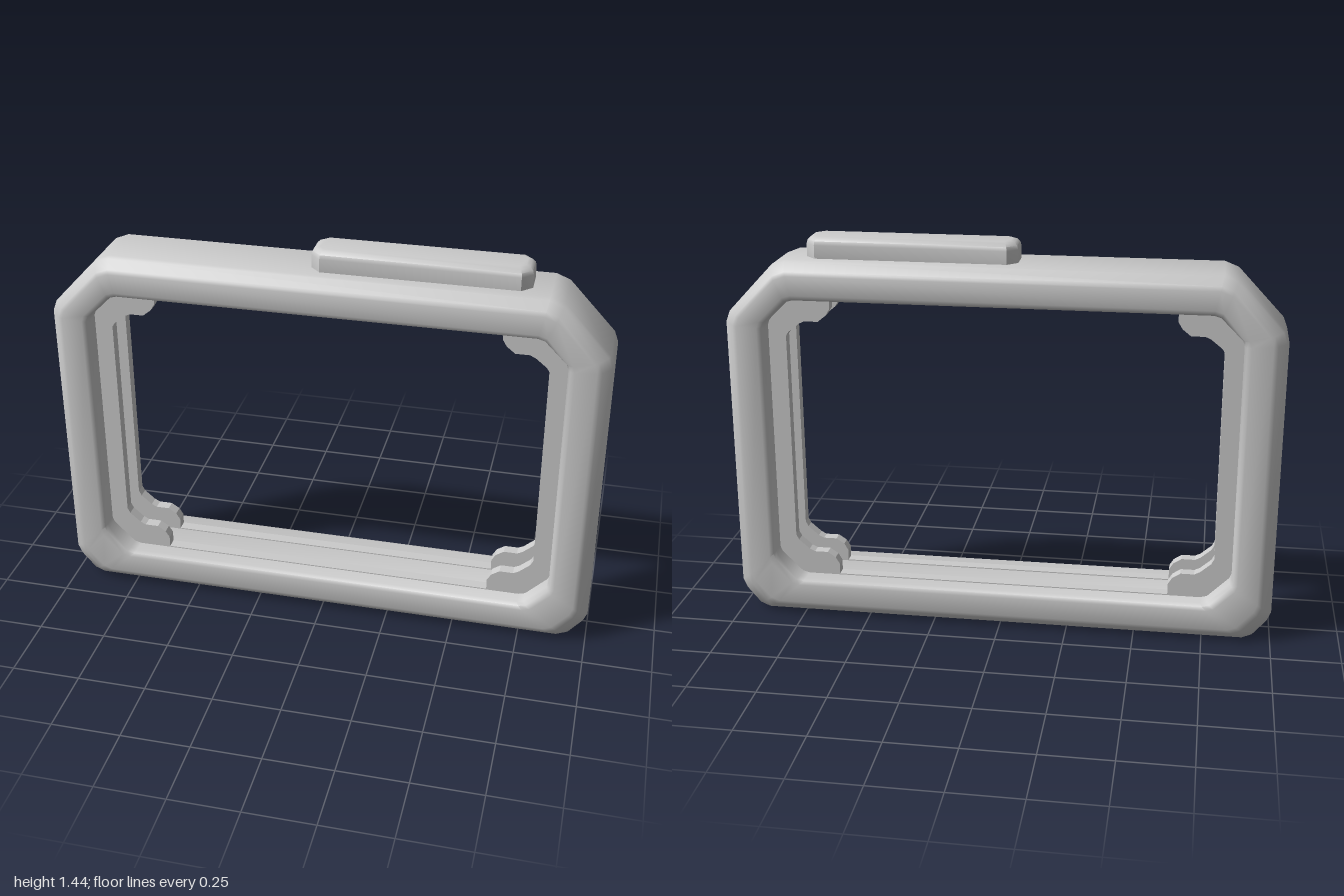
import * as THREE from 'three';
import { toCreasedNormals } from 'three/addons/utils/BufferGeometryUtils.js';

const material = new THREE.MeshStandardMaterial({ color: 0xcccccc });

// Completes a right-half outline (bottom to top) with its mirror image.
const mirrorOutline = (half) => [...half, ...half.map(([x, y]) => [-x, y]).reverse()];

function shapeFrom(points) {
  return new THREE.Shape(points.map(([x, y]) => new THREE.Vector2(x, y)));
}

function addMesh(group, name, geometry) {
  const mesh = new THREE.Mesh(geometry, material);
  mesh.name = name;
  group.add(mesh);
  return mesh;
}

// Ring swept from a bevelled section; t runs from the outer outline (0) to the inner one (1).
function frameGeometry() {
  const outer = mirrorOutline([
    [0.9, 0], [0.935, 0.015], [0.985, 0.075], [1, 0.11],
    [1, 1.13], [0.985, 1.17], [0.82, 1.345], [0.77, 1.365],
  ]);
  const inner = mirrorOutline([
    [0.74, 0.145], [0.765, 0.152], [0.843, 0.23], [0.85, 0.25],
    [0.85, 1.12], [0.843, 1.14], [0.765, 1.218], [0.74, 1.225],
  ]);
  const front = [
    [0, 0.1], [0.05, 0.115], [0.25, 0.148], [0.36, 0.155],
    [0.85, 0.155], [0.95, 0.15], [1, 0.135],
  ];
  const section = [...front, ...front.map(([t, z]) => [t, -z]).reverse()];
  const n = outer.length, m = section.length;
  const positions = [], index = [];
  for (const [t, z] of section) {
    for (let j = 0; j < n; j++) {
      positions.push(
        THREE.MathUtils.lerp(outer[j][0], inner[j][0], t),
        THREE.MathUtils.lerp(outer[j][1], inner[j][1], t), z);
    }
  }
  for (let i = 0; i < m; i++) {
    for (let j = 0; j < n; j++) {
      const i2 = (i + 1) % m, j2 = (j + 1) % n;
      const a = i * n + j, b = i * n + j2, c = i2 * n + j, d = i2 * n + j2;
      index.push(a, b, c, b, d, c);
    }
  }
  const geometry = new THREE.BufferGeometry();
  geometry.setAttribute('position', new THREE.Float32BufferAttribute(positions, 3));
  geometry.setIndex(index);
  return toCreasedNormals(geometry, 0.85);
}

// Thin retaining rail lining the opening, with a stepped tab in each corner.
function railGeometry(depth) {
  const rail = shapeFrom(mirrorOutline([
    [0.8, 0.1], [0.9, 0.2], [0.9, 1.17], [0.8, 1.27],
  ]));
  rail.holes.push(shapeFrom(mirrorOutline([
    [0.62, 0.149], [0.62, 0.19], [0.635, 0.215], [0.665, 0.235], [0.715, 0.235],
    [0.735, 0.245], [0.775, 0.28], [0.785, 0.3],
    [0.785, 1.08], [0.775, 1.095], [0.735, 1.127], [0.715, 1.136],
    [0.665, 1.136], [0.635, 1.16], [0.62, 1.185], [0.62, 1.221],
  ])));
  return new THREE.ExtrudeGeometry(rail, { depth, bevelEnabled: false });
}

// Long button with chamfered corners and a bevelled top.
function buttonGeometry() {
  const bevel = 0.028, w = 0.38 - bevel, d = 0.078 - bevel, c = 0.02;
  const plan = shapeFrom([
    [w - c, -d], [w, -d + c], [w, d - c], [w - c, d],
    [-w + c, d], [-w, d - c], [-w, -d + c], [-w + c, -d],
  ]);
  const geometry = new THREE.ExtrudeGeometry(plan, {
    depth: 0.08, bevelThickness: bevel, bevelSize: bevel, bevelSegments: 3,
  });
  geometry.rotateX(-Math.PI / 2);
  return toCreasedNormals(geometry, 0.7);
}

export function createModel() {
  const model = new THREE.Group();
  model.name = 'protectiveFrame';

  addMesh(model, 'frame', frameGeometry());

  // Two rails leave a groove between them
  const railDepth = 0.04;
  addMesh(model, 'frontRail', railGeometry(railDepth)).position.z = 0.085 - railDepth;
  addMesh(model, 'backRail', railGeometry(railDepth)).position.z = -0.085;

  addMesh(model, 'topButton', buttonGeometry()).position.set(0.325, 1.44 - 0.108, 0);

  return model;
}
